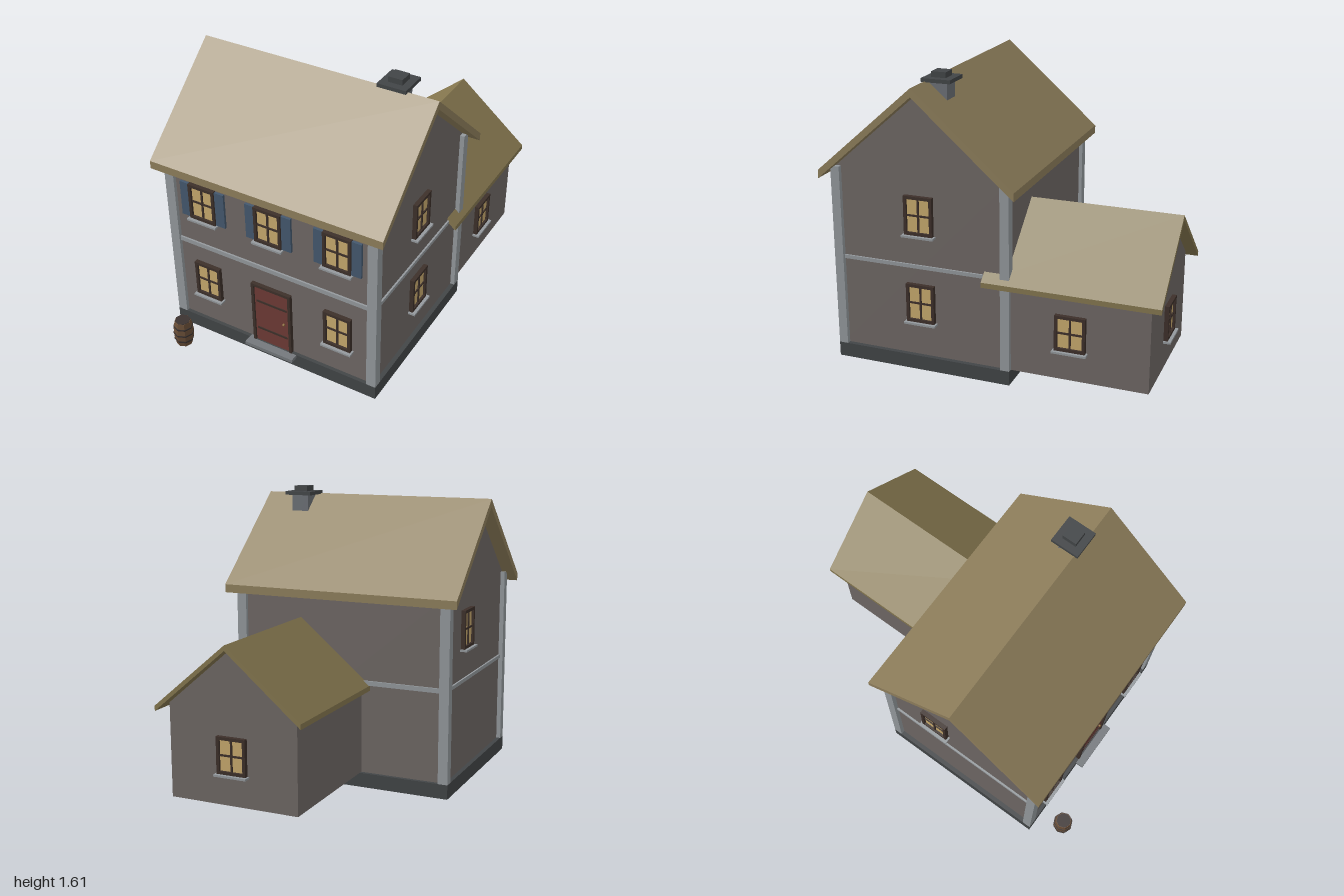
import * as THREE from 'three';

const mat = (color) => new THREE.MeshStandardMaterial({ color, flatShading: true });
const M = {
  wall: mat(0x6f6865), stone: mat(0x424547), trim: mat(0x94999d), thatch: mat(0x8f7f5c),
  annexThatch: mat(0x85774f), frame: mat(0x3d302a), glass: mat(0xc8aa6e), shutter: mat(0x44586e),
  door: mat(0x6e3a35), chimney: mat(0x6c7076), wood: mat(0x6b4f38), hoop: mat(0x3a3230),
  step: mat(0x74787c), brass: mat(0x8a6a3a),
};

function add(parent, name, geo, material, x = 0, y = 0, z = 0) {
  const m = new THREE.Mesh(geo, material);
  m.name = name;
  m.position.set(x, y, z);
  parent.add(m);
  return m;
}

// Box given by its min and max on each axis
function box(parent, name, material, x0, x1, y0, y1, z0, z1) {
  return add(parent, name, new THREE.BoxGeometry(x1 - x0, y1 - y0, z1 - z0), material,
    (x0 + x1) / 2, (y0 + y1) / 2, (z0 + z1) / 2);
}

// Prism: outline in x/y, extruded along z from 0 to length
function prism(points, length) {
  const shape = new THREE.Shape(points.map(([x, y]) => new THREE.Vector2(x, y)));
  return new THREE.ExtrudeGeometry(shape, { depth: length, bevelEnabled: false });
}

// Gabled roof slab, centred on x = 0
const roofGeo = (half, eave, ridge, thick, length) => prism([
  [-half, eave], [0, ridge - thick], [half, eave],
  [half, eave + thick], [0, ridge], [-half, eave + thick],
], length);

// Gabled wall block, centred on x = 0
const gableGeo = (half, top, peak, length) =>
  prism([[-half, top], [half, top], [0, peak]], length);

// Window facing +z with its bottom centre at the origin
function makeWindow(w, h, shutters) {
  const g = new THREE.Group();
  const b = 0.016, hw = w / 2;
  box(g, 'windowPane', M.glass, -hw + b, hw - b, b, h - b, -0.005, 0.01);
  for (const s of [-1, 1]) {
    const x = s * (hw - b / 2);
    box(g, 'windowJamb', M.frame, x - b / 2, x + b / 2, 0, h, -0.005, 0.023);
    if (shutters) {
      const c = s * (hw + 0.026);
      box(g, 'shutter', M.shutter, c - 0.03, c + 0.03, 0, h - 0.005, -0.005, 0.014);
    }
  }
  box(g, 'windowHead', M.frame, -hw, hw, h - b, h, -0.005, 0.024);
  box(g, 'windowBase', M.frame, -hw, hw, 0, b, -0.005, 0.023);
  box(g, 'verticalBar', M.frame, -0.005, 0.005, b, h - b, 0, 0.017);
  box(g, 'horizontalBar', M.frame, -hw + b, hw - b, h / 2 - 0.005, h / 2 + 0.005, 0, 0.016);
  box(g, 'windowSill', M.trim, -hw - 0.01, hw + 0.01, -0.011, 0, -0.005, 0.04);
  return g;
}

export function createModel() {
  const house = new THREE.Group();
  house.name = 'house';
  const WX = 0.605, ZF = 0.78, ZB = -0.18, ZC = 0.3;

  // Main body
  box(house, 'foundation', M.stone, -0.63, 0.63, 0, 0.08, -0.2, 0.8);
  box(house, 'mainWalls', M.wall, -WX, WX, 0.08, 1.095, ZB, ZF);
  const gable = add(house, 'mainGable', gableGeo(0.48, 1.095, 1.513, WX * 2), M.wall, -WX, 0, ZC);
  gable.rotation.y = Math.PI / 2;
  const roof = add(house, 'mainRoof', roofGeo(0.545, 1.037, 1.56, 0.045, 1.36), M.thatch, -0.68, 0, ZC);
  roof.rotation.y = Math.PI / 2;

  // Corner posts and the belt between storeys
  for (const s of [-1, 1]) {
    for (const z of [-0.2, 0.75]) {
      const x = s * 0.6025;
      box(house, 'cornerPost', M.trim, x - 0.0275, x + 0.0275, 0.08, 1.095, z, z + 0.05);
    }
    const bx = s * WX;
    box(house, 'sideBelt', M.trim, bx - 0.01, bx + 0.01, 0.578, 0.598, -0.15, 0.75);
  }
  box(house, 'frontBelt', M.trim, -0.575, 0.575, 0.575, 0.6, ZF - 0.01, ZF + 0.01);
  box(house, 'backBelt', M.trim, -0.575, 0.575, 0.575, 0.6, ZB - 0.01, ZB + 0.01);

  // Chimney
  box(house, 'chimneyShaft', M.chimney, 0.38, 0.48, 1.36, 1.557, 0.19, 0.29);
  box(house, 'chimneyCap', M.stone, 0.35, 0.51, 1.555, 1.575, 0.16, 0.32);
  box(house, 'chimneyPot', M.stone, 0.39, 0.47, 1.575, 1.605, 0.2, 0.28);

  // Rear annex
  const AX = 0.242;
  box(house, 'annexWalls', M.wall, AX - 0.363, AX + 0.363, 0.08, 0.582, -0.94, ZB);
  add(house, 'annexGable', gableGeo(0.363, 0.582, 0.888, 0.76), M.wall, AX, 0, -0.94);
  add(house, 'annexRoof', roofGeo(0.413, 0.545, 0.92, 0.028, 0.945), M.annexThatch, AX, 0, -1);

  // Windows: x, y, z, turn, width, height, shutters
  const turn = Math.PI / 2;
  const windows = [
    [-0.405, 0.255, ZF, 0, 0.16, 0.215, false],
    [0.4, 0.255, ZF, 0, 0.16, 0.215, false],
    ...[-0.405, -0.002, 0.402].map((x) => [x, 0.767, ZF, 0, 0.16, 0.213, true]),
    [WX, 0.767, 0.305, turn, 0.16, 0.213, false],
    [WX, 0.275, 0.305, turn, 0.16, 0.215, false],
    [-WX, 0.767, 0.13, -turn, 0.16, 0.213, false],
    [AX + 0.363, 0.248, -0.525, turn, 0.165, 0.195, false],
    [AX, 0.248, -0.94, Math.PI, 0.165, 0.195, false],
  ];
  for (const [x, y, z, ry, w, h, shutters] of windows) {
    const win = makeWindow(w, h, shutters);
    win.name = 'window';
    win.position.set(x, y, z);
    win.rotation.y = ry;
    house.add(win);
  }

  // Door with frame, bands, knob and step
  const door = new THREE.Group();
  door.name = 'frontDoor';
  door.position.set(-0.002, 0.08, ZF);
  house.add(door);
  box(door, 'doorPanel', M.door, -0.106, 0.106, 0, 0.376, -0.005, 0.012);
  for (const s of [-1, 1]) {
    const x = s * 0.113;
    box(door, 'doorJamb', M.frame, x - 0.008, x + 0.008, 0, 0.392, -0.005, 0.022);
  }
  box(door, 'doorHead', M.frame, -0.121, 0.121, 0.376, 0.392, -0.005, 0.022);
  for (const y of [0.09, 0.278])
    box(door, 'doorBand', M.frame, -0.093, 0.093, y - 0.006, y + 0.006, 0, 0.016);
  add(door, 'doorKnob', new THREE.SphereGeometry(0.008, 8, 6), M.brass, 0.075, 0.18, 0.017);
  box(house, 'doorStep', M.step, -0.15, 0.148, 0.06, 0.08, 0.77, 0.845);

  // Barrel beside the front wall
  const barrel = new THREE.Group();
  barrel.name = 'barrel';
  barrel.position.set(-0.493, 0, 0.942);
  house.add(barrel);
  const profile = [[0, 0], [0.045, 0], [0.053, 0.045], [0.055, 0.0775], [0.053, 0.11], [0.045, 0.155], [0, 0.155]];
  add(barrel, 'barrelBody',
    new THREE.LatheGeometry(profile.map(([r, y]) => new THREE.Vector2(r, y)), 8), M.wood);
  for (const [y, r] of [[0.035, 0.054], [0.0775, 0.057], [0.12, 0.054]])
    add(barrel, 'barrelHoop', new THREE.CylinderGeometry(r, r, 0.009, 8), M.hoop, 0, y, 0);
  add(barrel, 'barrelLid', new THREE.CylinderGeometry(0.042, 0.042, 0.004, 8), M.hoop, 0, 0.156, 0);

  return house;
}
